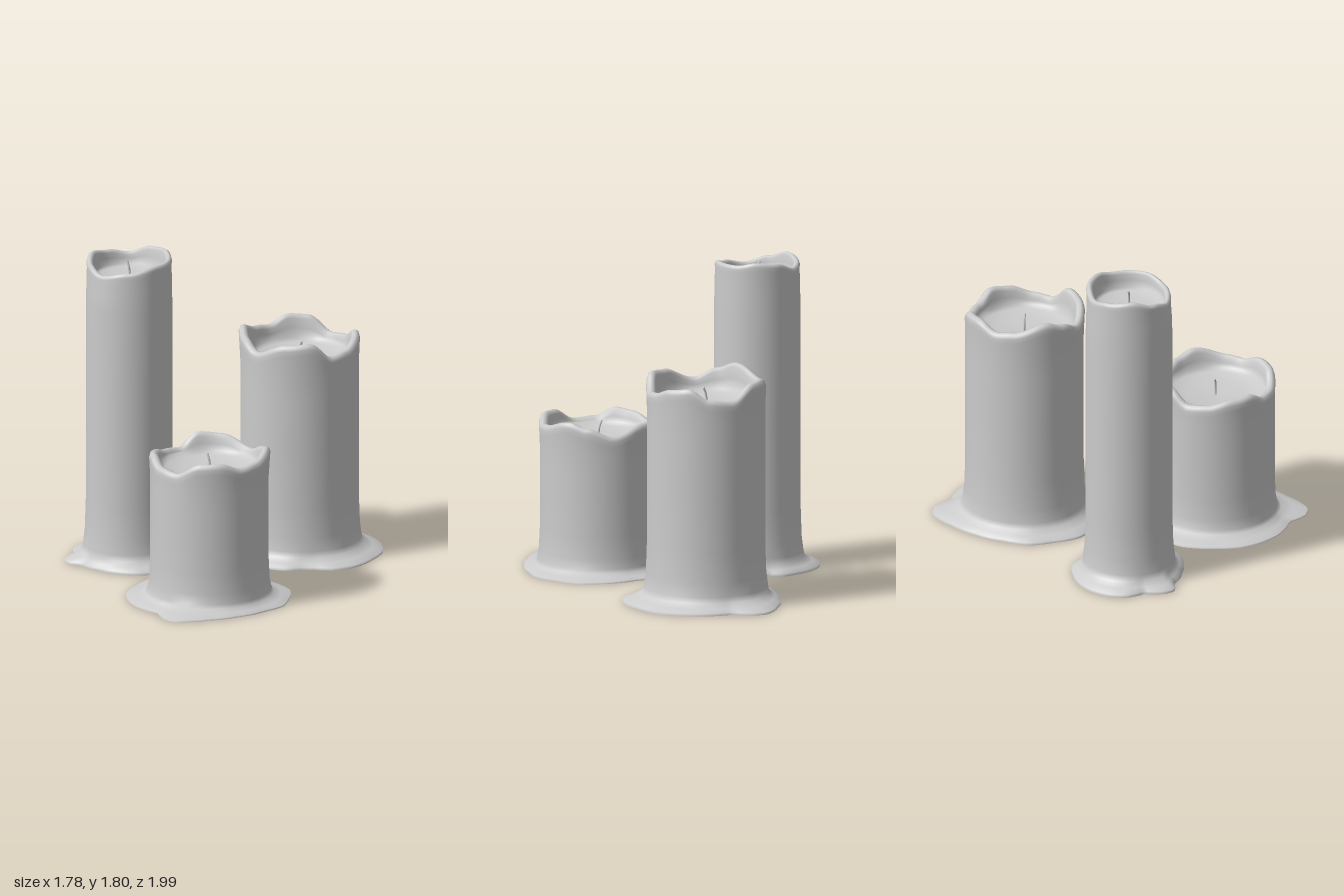
import * as THREE from 'three';

const SEG = 96;
const lerp = THREE.MathUtils.lerp;
const wax = new THREE.MeshStandardMaterial({ color: 0xcccccc });

// Periodic lookup in a table of [degrees, value], straight or eased between entries
function sampler(table, eased) {
  const t = table.slice().sort((a, b) => a[0] - b[0]);
  const first = t[0], last = t[t.length - 1];
  const all = [[last[0] - 360, last[1]], ...t, [first[0] + 360, first[1]]];
  return (deg) => {
    const i = all.findIndex((e, k) => k > 0 && deg <= e[0]);
    const [a, b] = [all[i - 1], all[i]];
    const u = (deg - a[0]) / (b[0] - a[0]);
    return lerp(a[1], b[1], eased ? u * u * (3 - 2 * u) : u);
  };
}

// Puddle outline points (x, z about the candle axis) as radius by angle
function outline(points) {
  return sampler(points.map(([x, z]) => [
    (Math.atan2(z, x) * 180 / Math.PI + 360) % 360, Math.hypot(x, z)]), false);
}

// Skin a stack of rings; each ring maps an angle in degrees to [radius, y]
function loft(rings) {
  const pos = [], index = [];
  for (const ring of rings) {
    for (let j = 0; j < SEG; j++) {
      const deg = j * 360 / SEG, a = deg * Math.PI / 180;
      const [r, y] = ring(deg);
      pos.push(r * Math.cos(a), y, r * Math.sin(a));
    }
  }
  for (let i = 0; i < rings.length - 1; i++) {
    for (let j = 0; j < SEG; j++) {
      const k = (j + 1) % SEG;
      const a = i * SEG + j, b = i * SEG + k, c = a + SEG, d = b + SEG;
      index.push(a, c, b, b, c, d);
    }
  }
  const g = new THREE.BufferGeometry();
  g.setAttribute('position', new THREE.Float32BufferAttribute(pos, 3));
  g.setIndex(index);
  g.computeVertexNormals();
  return g;
}

function addMesh(group, name, geometry) {
  const m = new THREE.Mesh(geometry, wax);
  m.name = name;
  group.add(m);
}

// R body radius, H highest rim point, F pool floor, s foot height scale, k lip scale
function candle({ name, x, z, turn, R, H, F, s, k, taper, amp, rim, puddle }) {
  const g = new THREE.Group();
  g.name = name;
  const top = (d) => H + rim(d) * amp;
  const fixed = (r, y) => () => [r, y];
  const spread = (u, y) => (d) => [lerp(R + 0.01, puddle(d), u), y];
  const lip = (dr, dy) => (d) => [R - taper + dr * k + rim(d) * 0.1, top(d) - dy * k];

  addMesh(g, 'waxBody', loft([
    // puddle and flared foot
    spread(1, 0.004), spread(0.98, 0.014 * s), spread(0.55, 0.025 * s), spread(0.15, 0.042 * s),
    fixed(R + 0.016, 0.065 * s), fixed(R + 0.006, 0.12 * s), fixed(R, 0.24 * s),
    // column
    fixed(R, H * 0.5), fixed(R, F - 0.15), (d) => [R - taper * 0.4, lerp(F - 0.1, top(d), 0.3)],
    // wavy rounded lip
    lip(0.008, 0.06), lip(0.01, 0.03), lip(0.004, 0.009), lip(-0.012, 0), lip(-0.03, 0.004), lip(-0.042, 0.022),
    // hollow and melted pool
    (d) => [R - taper - 0.05 * k, lerp(F + 0.02, top(d), 0.5)],
    fixed(R - taper - 0.06 * k, F + 0.04 * k), fixed(R - taper - 0.085 * k, F + 0.022 * k),
    fixed(R * 0.5, F + 0.006), fixed(0, F),
  ]));
  addMesh(g, 'puddleUnderside', loft([fixed(0, 0.004), spread(1, 0.004)]));

  // bent wick
  const path = new THREE.CatmullRomCurve3([
    new THREE.Vector3(0, F - 0.02, 0), new THREE.Vector3(0.002, F + 0.04, 0.001),
    new THREE.Vector3(-0.004, F + 0.075, -0.002), new THREE.Vector3(-0.012, F + 0.1, -0.008)]);
  addMesh(g, 'wick', new THREE.TubeGeometry(path, 10, 0.006, 8));
  const cap = new THREE.SphereGeometry(0.006, 8, 6);
  cap.translate(-0.012, F + 0.1, -0.008);
  addMesh(g, 'wickTip', cap);

  g.position.set(x, 0, z);
  g.rotation.y = turn;
  return g;
}

export function createModel() {
  const model = new THREE.Group();
  model.name = 'candles';

  // shared by the two wide candles
  const wide = {
    R: 0.335, k: 1, taper: 0,
    rim: sampler([[0, 0], [35, -0.045], [52, -0.055], [75, -0.015], [95, -0.02], [122, -0.09],
      [145, -0.08], [166, -0.03], [185, -0.04], [213, -0.075], [232, -0.085], [255, -0.01],
      [280, -0.02], [315, -0.075], [340, -0.03]], true),
    puddle: outline([[0.045, -0.44], [0.21, -0.37], [0.36, -0.28], [0.45, -0.15], [0.45, 0.02],
      [0.43, 0.15], [0.335, 0.26], [0.19, 0.38], [0.035, 0.455], [-0.155, 0.505], [-0.23, 0.455],
      [-0.27, 0.34], [-0.405, 0.215], [-0.475, -0.03], [-0.43, -0.18], [-0.335, -0.345],
      [-0.22, -0.415], [-0.12, -0.405], [-0.045, -0.41]]),
  };
  model.add(candle({ ...wide, name: 'shortCandle', x: -0.03, z: 0.49, turn: 0, H: 0.9, F: 0.75, s: 1, amp: 1 }));
  model.add(candle({ ...wide, name: 'mediumCandle', x: 0.415, z: -0.495, turn: Math.PI, H: 1.32, F: 1.13, s: 1.4, amp: 1.2 }));

  model.add(candle({
    name: 'tallCandle', x: -0.535, z: -0.25, turn: 0, R: 0.245, H: 1.8, F: 1.66, s: 1.5, k: 0.7, taper: 0.008, amp: 1,
    rim: sampler([[0, -0.02], [45, -0.02], [90, -0.052], [130, -0.08], [165, -0.045], [198, -0.01],
      [235, -0.03], [265, -0.05], [300, -0.008], [330, 0]], true),
    puddle: outline([[-0.36, 0.07], [-0.35, 0.135], [-0.26, 0.17], [-0.145, 0.265], [-0.04, 0.32],
      [0.07, 0.34], [0.155, 0.315], [0.3, 0.19], [0.335, 0.055], [0.275, -0.16], [0.215, -0.21],
      [0.17, -0.28], [0.06, -0.32], [-0.17, -0.31], [-0.285, -0.225], [-0.325, -0.15], [-0.315, -0.04]]),
  }));
  return model;
}
